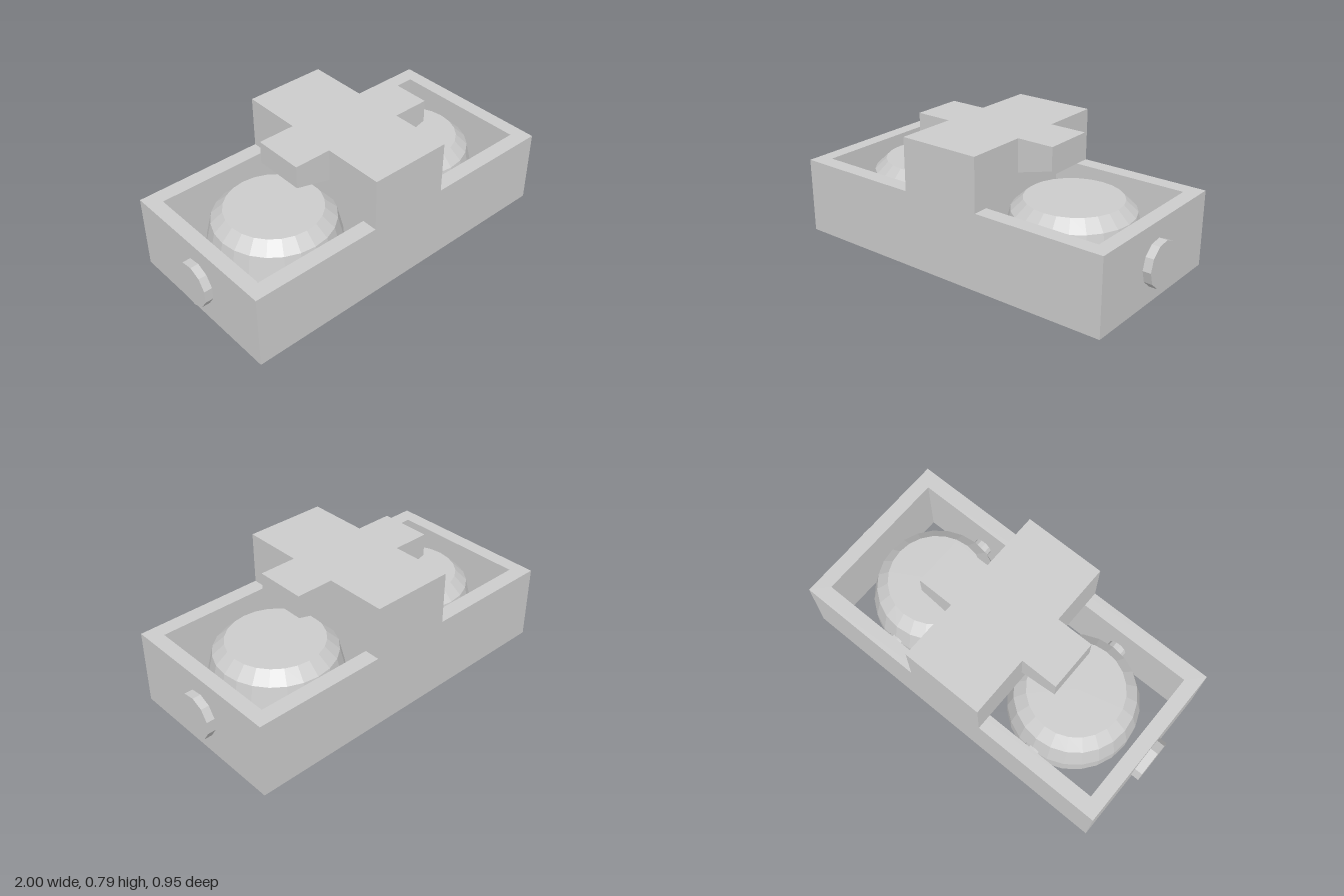
import * as THREE from 'three';

const material = new THREE.MeshStandardMaterial({ color: 0xcccccc, flatShading: true });

function add(parent, name, geometry, x = 0, y = 0, z = 0) {
  const mesh = new THREE.Mesh(geometry, material);
  mesh.name = name;
  mesh.position.set(x, y, z);
  parent.add(mesh);
  return mesh;
}

function polygon(points) {
  return new THREE.Shape(points.map(([x, y]) => new THREE.Vector2(x, y)));
}

const rectangle = (x0, x1, h) => [[x0, -h], [x1, -h], [x1, h], [x0, h]];

export function createModel() {
  const model = new THREE.Group();
  model.name = 'model';

  // Rectangular frame with two wells and a bar between them
  const outline = polygon(rectangle(-0.955, 0.955, 0.477));
  outline.holes.push(polygon(rectangle(0.09, 0.875, 0.39)), polygon(rectangle(-0.875, -0.09, 0.39)));
  const frame = new THREE.ExtrudeGeometry(outline, { depth: 0.42, bevelEnabled: false });
  frame.rotateX(-Math.PI / 2);
  add(model, 'frame', frame, 0, 0.08, 0);

  // Raised block across the middle
  add(model, 'centreBlock', new THREE.BoxGeometry(0.456, 0.29, 0.954), 0, 0.645, 0);

  // Tapered tab, drawn in x-y and extruded along z
  const tab = polygon([[0.228, 0.61], [0.435, 0.665], [0.435, 0.79], [0.228, 0.79]]);
  // Rounded drum with a shallow recess in its base
  const drumProfile = [
    [0, 0.04], [0.272, 0.04], [0.28, 0], [0.297, 0], [0.327, 0.08], [0.354, 0.19],
    [0.354, 0.3], [0.322, 0.435], [0.258, 0.496], [0, 0.496],
  ].map(([r, y]) => new THREE.Vector2(r, y));

  for (const side of [1, -1]) {
    const prefix = side > 0 ? 'left' : 'right';
    const half = new THREE.Group();
    half.name = prefix + 'Side';
    half.rotation.y = side > 0 ? 0 : Math.PI;
    model.add(half);

    add(half, prefix + 'Tab',
      new THREE.ExtrudeGeometry(tab, { depth: 0.28, bevelEnabled: false }), 0, 0, -0.14);
    add(half, prefix + 'Drum', new THREE.LatheGeometry(drumProfile, 24), 0.477, 0, 0);

    // Pins that hold the drum to the front and back walls
    for (const z of [-1, 1]) {
      const pin = new THREE.CylinderGeometry(0.052, 0.052, 0.12, 11);
      pin.rotateX(Math.PI / 2);
      add(half, prefix + 'DrumPin', pin, 0.477, 0.285, z * 0.36);
    }

    // Round boss on the end wall, with a corner pointing down
    const boss = new THREE.CylinderGeometry(0.123, 0.123, 0.06, 11);
    boss.rotateY(-Math.PI / 2);
    boss.rotateZ(-Math.PI / 2);
    boss.rotateX(Math.PI / 2);
    add(half, prefix + 'Boss', boss, 0.97, 0.285, 0);
  }

  return model;
}
